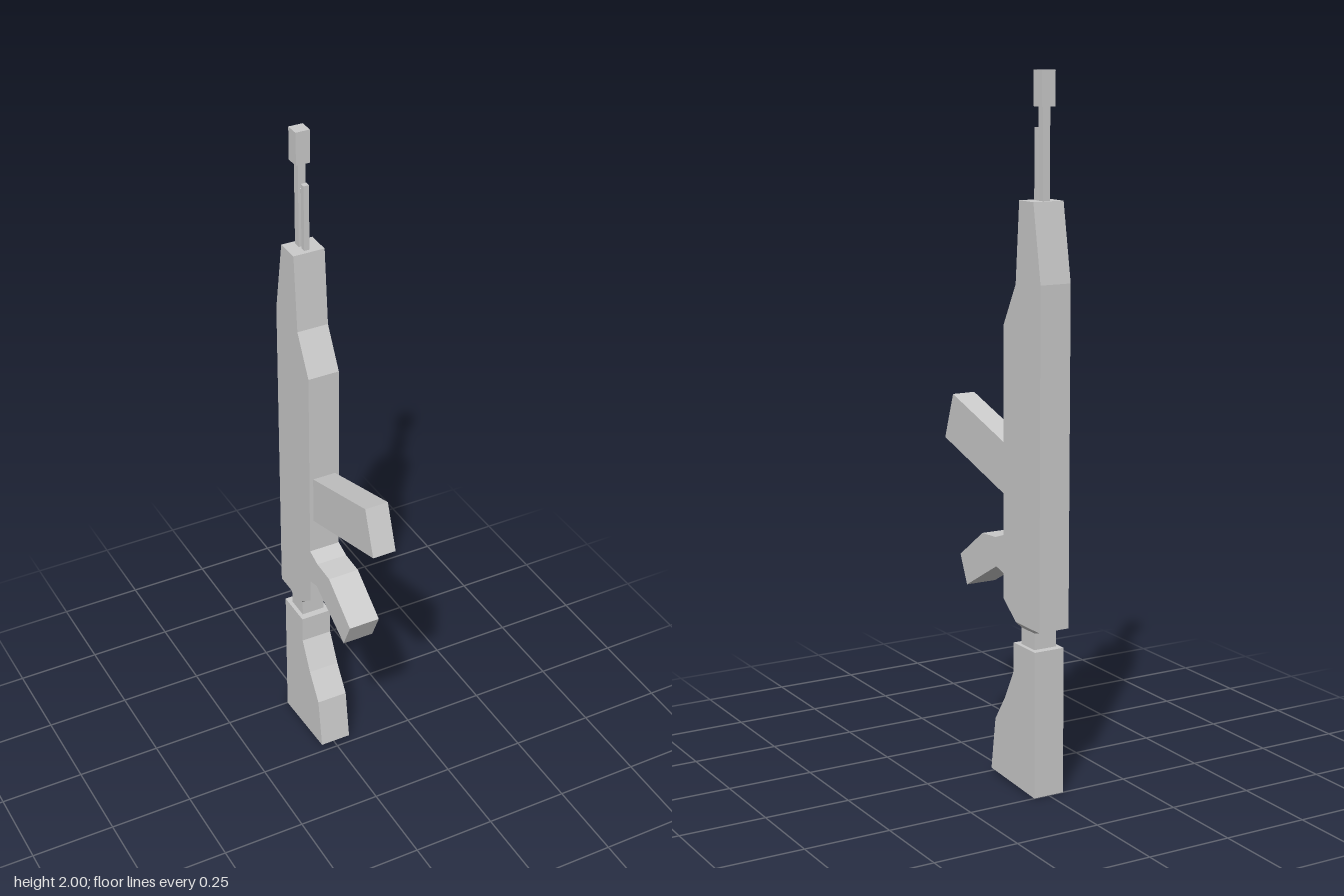
import * as THREE from 'three';

const material = new THREE.MeshStandardMaterial({ color: 0xcccccc, flatShading: true });

// Side profile given as [z, y] pairs, extruded symmetrically across x
function slab(name, points, halfWidth) {
  const shape = new THREE.Shape(points.map(([z, y]) => new THREE.Vector2(z, y)));
  const geometry = new THREE.ExtrudeGeometry(shape, { depth: halfWidth * 2, bevelEnabled: false });
  geometry.translate(0, 0, -halfWidth);
  geometry.rotateY(-Math.PI / 2);
  const mesh = new THREE.Mesh(geometry, material);
  mesh.name = name;
  return mesh;
}

// Box given by its half width and its y and z ranges
function block(name, halfWidth, y0, y1, z0, z1) {
  const geometry = new THREE.BoxGeometry(halfWidth * 2, y1 - y0, z1 - z0);
  geometry.translate(0, (y0 + y1) / 2, (z0 + z1) / 2);
  const mesh = new THREE.Mesh(geometry, material);
  mesh.name = name;
  return mesh;
}

export function createModel() {
  const group = new THREE.Group();
  group.name = 'rifle';

  // Receiver and handguard, with the pistol grip in the same outline
  group.add(slab('receiverAndGrip', [
    [-0.163, 1.657], [-0.236, 1.657], [-0.274, 1.44], [-0.274, 0.485],
    [-0.148, 0.485], [-0.081, 0.537], [-0.081, 0.61], [-0.04, 0.62],
    [0.128, 0.527], [0.166, 0.61], [0.038, 0.70], [-0.035, 0.704],
    [-0.081, 0.72], [-0.081, 1.312], [-0.145, 1.43],
  ].reverse(), 0.047));

  // Magazine
  group.add(slab('magazine', [
    [-0.081, 0.827], [0.276, 0.935], [0.228, 1.07], [-0.081, 0.973],
  ], 0.035));

  // Shoulder stock
  group.add(slab('stock', [
    [-0.25, 0], [-0.012, 0.014], [-0.035, 0.17], [-0.09, 0.25],
    [-0.137, 0.34], [-0.137, 0.423], [-0.25, 0.423],
  ], 0.047));

  // Tapered collar under the receiver: lower corners are pulled inwards
  const collar = block('collar', 0.047, 0.471, 0.485, -0.274, -0.148);
  const p = collar.geometry.attributes.position;
  for (let i = 0; i < p.count; i++) {
    if (p.getY(i) > 0.48) continue;
    p.setX(i, Math.sign(p.getX(i)) * 0.035);
    p.setZ(i, p.getZ(i) > -0.2 ? -0.158 : -0.228);
  }
  collar.geometry.computeVertexNormals();
  group.add(collar);

  group.add(block('neck', 0.035, 0.42, 0.472, -0.228, -0.158));

  // Barrel, muzzle and the rod beside the barrel
  group.add(block('barrel', 0.011, 1.65, 1.91, -0.225, -0.202));
  group.add(block('muzzle', 0.021, 1.905, 2.0, -0.235, -0.193));
  group.add(block('rod', 0.008, 1.65, 1.85, -0.192, -0.176));
  group.add(block('rodBracket', 0.006, 1.82, 1.832, -0.204, -0.19));

  return group;
}
